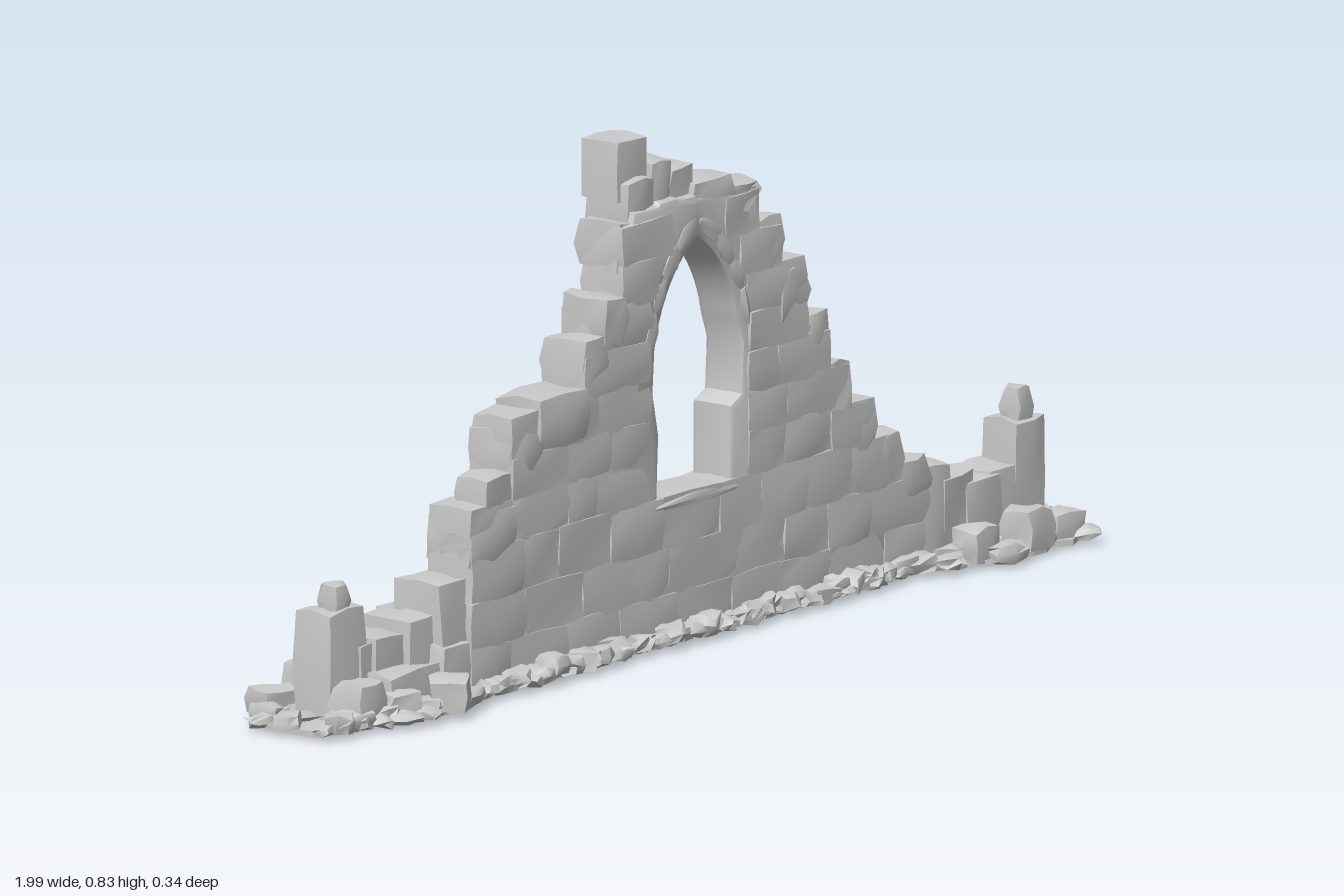
import * as THREE from 'three';
import { toCreasedNormals } from 'three/addons/utils/BufferGeometryUtils.js';

const material = new THREE.MeshStandardMaterial({ color: 0xcccccc });
const WALL_Z = 0.025;

let seed = 7;
function rand(a = 0, b = 1) {
  seed = (seed * 16807) % 2147483647;
  return a + (b - a) * (seed / 2147483647);
}

// Worn block: corners pulled in, each distinct vertex nudged by a hash
function stone(name, w, h, d, x, y, z, { round = 0.003, wear = 0.004, turn = 0, tilt = 0 } = {}) {
  const g = new THREE.BoxGeometry(w, h, d, 2, 2, 2);
  const p = g.attributes.position;
  const s = rand(0, 100);
  const noise = (a, b, c, k) => {
    const n = Math.sin(a * 12.9 + b * 78.2 + c * 37.7 + k * 19.1 + s) * 43758.5;
    return (n - Math.floor(n)) * 2 - 1;
  };
  for (let i = 0; i < p.count; i++) {
    const q = [p.getX(i), p.getY(i), p.getZ(i)];
    const u = [w, h, d].map((size, k) => Math.round(q[k] / size * 2));
    const edges = Math.max(0, Math.abs(u[0]) + Math.abs(u[1]) + Math.abs(u[2]) - 1);
    const r = q.map((v, k) => v - u[k] * round * edges + wear * noise(...u, k));
    p.setXYZ(i, ...r);
  }
  const mesh = new THREE.Mesh(toCreasedNormals(g, 0.75), material);
  mesh.name = name;
  mesh.position.set(x, y, z);
  mesh.rotation.set(tilt, turn, tilt * 0.6);
  return mesh;
}

// Stepped broken skyline: x start, x end, top
const steps = [
  [-0.6, -0.49, 0.295], [-0.49, -0.42, 0.42], [-0.42, -0.3, 0.455], [-0.3, -0.25, 0.53],
  [-0.25, -0.2, 0.59], [-0.2, -0.17, 0.7], [-0.17, -0.1, 0.76], [-0.1, -0.05, 0.785],
  [-0.05, 0, 0.765], [0, 0.09, 0.735], [0.09, 0.16, 0.715], [0.16, 0.215, 0.645],
  [0.215, 0.28, 0.55], [0.28, 0.34, 0.47], [0.34, 0.395, 0.38], [0.395, 0.46, 0.305],
  [0.46, 0.53, 0.235], [0.53, 0.6, 0.19],
];

function wallCore() {
  const pts = [new THREE.Vector2(-0.59, 0)];
  for (const [x0, x1, top] of steps) {
    const t = Math.min(top - 0.012, 0.7 + (top - 0.7) * 0.2);
    pts.push(new THREE.Vector2(x0 + 0.003, t), new THREE.Vector2(x1 - 0.003, t));
  }
  pts.push(new THREE.Vector2(0.6, 0));
  const shape = new THREE.Shape(pts.reverse());
  // Pointed window with a ragged right jamb, wound against the outline
  const hole = new THREE.Path();
  hole.moveTo(-0.105, 0.235);
  hole.lineTo(-0.1, 0.34);
  hole.lineTo(-0.115, 0.41);
  hole.lineTo(-0.11, 0.48);
  hole.quadraticCurveTo(-0.085, 0.59, 0, 0.642);
  hole.quadraticCurveTo(0.085, 0.59, 0.105, 0.49);
  hole.lineTo(0.12, 0.45);
  hole.lineTo(0.115, 0.37);
  hole.lineTo(0.085, 0.355);
  hole.lineTo(0.085, 0.235);
  hole.closePath();
  shape.holes.push(hole);
  const g = new THREE.ExtrudeGeometry(shape, {
    depth: 0.058, bevelThickness: 0.011, bevelSize: 0.01, bevelOffset: -0.01,
    bevelSegments: 2, curveSegments: 10,
  });
  g.translate(0, 0, WALL_Z - 0.029);
  const mesh = new THREE.Mesh(toCreasedNormals(g, 0.6), material);
  mesh.name = 'wallCore';
  return mesh;
}

function windowHalfWidth(y) {
  if (y < 0.23 || y > 0.66) return 0;
  return y < 0.47 ? 0.13 : 0.13 * Math.sqrt(1 - ((y - 0.47) / 0.2) ** 1.6);
}

// Coursed masonry, stopping either side of the window
function masonry() {
  const group = new THREE.Group();
  group.name = 'masonry';
  const rows = [0, 0.075, 0.15, 0.232, 0.3, 0.365, 0.43, 0.495, 0.56, 0.625, 0.69];
  for (let r = 0; r < rows.length - 1; r++) {
    const y0 = rows[r], y1 = rows[r + 1];
    const open = steps.filter((s) => s[2] >= y1 - 0.01);
    const left = open[0][0], right = open[open.length - 1][1];
    const gap = windowHalfWidth(y0 + 0.005);
    const runs = gap ? [[left, -gap], [gap, right]] : [[left, right]];
    for (const [a, b] of runs) {
      const n = Math.max(1, Math.round((b - a) / 0.13));
      let x = a;
      for (let i = 0; i < n; i++) {
        const end = i === n - 1 ? b : a + (b - a) * (i + 1 + rand(-0.25, 0.25)) / n;
        group.add(stone('wallStone', end - x + 0.008, y1 - y0 + 0.008, rand(0.086, 0.093),
          (x + end) / 2, (y0 + y1) / 2 + 0.004, WALL_Z, { round: 0.002, wear: 0.0025 }));
        x = end;
      }
    }
  }
  return group;
}

// Loose blocks along the skyline, the top leaning to the back
function skyline() {
  const group = new THREE.Group();
  group.name = 'skyline';
  for (const [x0, x1, top] of steps) {
    const bottom = top > 0.71 ? 0.665 : top - 0.085;
    const lean = Math.max(0, top - 0.66) * 0.14;
    group.add(stone('copingStone', x1 - x0 + 0.014, top - bottom, rand(0.086, 0.096), (x0 + x1) / 2,
      (top + bottom) / 2, WALL_Z - lean + rand(-0.003, 0.003), { wear: 0.005 }));
  }
  group.add(stone('peakStone', 0.08, 0.1, 0.074, -0.14, 0.775, 0.004, { round: 0.001, wear: 0.003 }));
  // Broken stubs on the left shoulder
  for (const [x, y] of [[-0.52, 0.32], [-0.45, 0.385], [-0.56, 0.235]]) {
    group.add(stone('shoulderStone', 0.09, 0.065, 0.07, x, y, 0.035));
  }
  return group;
}

// Worn sill and the ring of arch stones around the opening
function windowSurround() {
  const group = new THREE.Group();
  group.name = 'windowSurround';
  group.add(stone('windowSill', 0.22, 0.025, 0.094, -0.01, 0.223, WALL_Z, { wear: 0.002 }));
  for (const side of [-1, 1]) {
    const curve = new THREE.QuadraticBezierCurve(
      new THREE.Vector2(side * 0.13, 0.48), new THREE.Vector2(side * 0.104, 0.607), new THREE.Vector2(side * 0.006, 0.668));
    for (let i = 0; i < 4; i++) {
      const t = (i + 0.5) / 4, c = curve.getPoint(t), d = curve.getTangent(t);
      const m = stone('archStone', 0.07, 0.034, 0.09, c.x, c.y, WALL_Z, { wear: 0.002 });
      m.rotation.z = Math.atan2(d.y, d.x);
      group.add(m);
    }
  }
  return group;
}

// Low wall remains and end posts: x, width, top, z, depth
function lowWalls() {
  const group = new THREE.Group();
  group.name = 'lowWalls';
  const parts = [
    [-0.62, 0.1, 0.2, 0.01, 0.1], [-0.68, 0.1, 0.15, -0.01, 0.1], [-0.75, 0.1, 0.13, -0.015, 0.09],
    [-0.8, 0.07, 0.12, -0.02, 0.085], [-0.6, 0.1, 0.14, -0.06, 0.06], [-0.7, 0.1, 0.08, -0.07, 0.07],
    [-0.75, 0.14, 0.075, 0.035, 0.08], [-0.63, 0.1, 0.1, 0.045, 0.05],
    [0.62, 0.09, 0.17, 0.027, 0.09], [0.68, 0.09, 0.145, 0.03, 0.088], [0.74, 0.09, 0.125, 0.033, 0.088],
    [0.8, 0.09, 0.135, 0.035, 0.085],
  ];
  for (const [x, w, top, z, d] of parts) {
    group.add(stone('lowWallStone', w, top, d, x, top / 2, z, { wear: 0.005 }));
  }
  for (const [x, z, w, top, cap] of [[-0.855, -0.022, 0.1, 0.185, 0.225], [0.862, 0.037, 0.08, 0.203, 0.252]]) {
    group.add(stone('endPost', w, top, 0.082, x, top / 2, z));
    group.add(stone('postCap', 0.046, cap - top + 0.02, 0.042, x, (cap + top - 0.02) / 2, z + 0.008, { wear: 0.003 }));
  }
  return group;
}

// Rubble reach to the back and to the front along x
const reaches = [
  [-1, 0.09, 0.04], [-0.9, 0.14, 0.07], [-0.78, 0.17, 0.12], [-0.68, 0.13, 0.14], [-0.6, 0.1, 0.09],
  [-0.4, 0.065, 0.1], [-0.2, 0.05, 0.085], [0.1, 0.06, 0.09], [0.55, 0.06, 0.085], [0.64, 0.1, 0.14],
  [0.7, 0.16, 0.15], [0.82, 0.12, 0.16], [0.93, 0.09, 0.15], [1, 0.04, 0.06],
];
function reach(x, side) {
  const i = Math.max(1, reaches.findIndex((r) => r[0] >= x));
  const a = reaches[i - 1], b = reaches[i], k = side > 0 ? 2 : 1;
  return THREE.MathUtils.mapLinear(x, a[0], b[0], a[k], b[k]);
}

function rubble() {
  const group = new THREE.Group();
  group.name = 'rubble';
  // Ragged flat footing
  const front = [], back = [];
  for (let i = 0; i <= 60; i++) {
    const x = -0.975 + 1.95 * i / 60;
    front.push(new THREE.Vector2(x, -reach(x, 1) * rand(0.72, 0.95)));
    back.unshift(new THREE.Vector2(x, reach(x, -1) * rand(0.72, 0.95)));
  }
  const g = new THREE.ExtrudeGeometry(new THREE.Shape([...front, ...back]), { depth: 0.01, bevelEnabled: false });
  g.rotateX(-Math.PI / 2);
  const footing = new THREE.Mesh(g, material);
  footing.name = 'footing';
  group.add(footing);
  // Flat stones along both faces and across the ends
  for (let i = 0; i < 170; i++) {
    const x = -0.965 + 1.93 * (i + rand()) / 170;
    const side = i % 2 ? 1 : -1;
    const far = reach(x, side);
    const z = side * far * (far > 0.1 || Math.abs(x) > 0.9 ? rand(0.2, 0.93) : rand(0.75, 0.92));
    const h = rand(0.018, 0.036);
    group.add(stone('rubbleStone', rand(0.04, 0.075), h, rand(0.03, 0.055), x, h / 2 + 0.002, z,
      { wear: 0.005, turn: rand(-0.7, 0.7) }));
  }
  // Larger fallen blocks: x, z, size, height, turn
  const blocks = [
    [-0.78, -0.125, 0.075, 0.07, 0.3], [-0.9, -0.1, 0.07, 0.05, -0.3], [-0.65, -0.1, 0.08, 0.07, 0.5],
    [-0.7, 0.1, 0.08, 0.06, 0.6], [-0.87, 0.045, 0.08, 0.07, 0.1], [-0.8, 0.075, 0.06, 0.05, -0.4],
    [0.71, -0.11, 0.09, 0.07, 0.5], [0.79, -0.085, 0.07, 0.05, -0.2], [0.87, -0.055, 0.06, 0.06, 0.2],
    [0.68, 0.1, 0.07, 0.06, 0.1], [0.8, 0.115, 0.08, 0.07, 0.05], [0.89, 0.11, 0.07, 0.05, -0.2],
    [-0.965, -0.02, 0.055, 0.03, 0.5], [0.96, 0.01, 0.055, 0.03, 0.3], [0.13, -0.04, 0.06, 0.05, 0.1],
    [-0.5, -0.06, 0.07, 0.05, 0.2], [0.44, -0.04, 0.06, 0.05, 0.1], [-0.41, 0.08, 0.06, 0.04, 0.2],
  ];
  for (const [x, z, s, h, turn] of blocks) {
    group.add(stone('fallenBlock', s, h, s * 0.85, x, h / 2 + 0.004, z, { turn, tilt: rand(-0.05, 0.05) }));
  }
  return group;
}

export function createModel() {
  seed = 7;
  const model = new THREE.Group();
  model.name = 'ruinedWall';
  model.add(wallCore(), masonry(), skyline(), windowSurround(), lowWalls(), rubble());
  return model;
}
